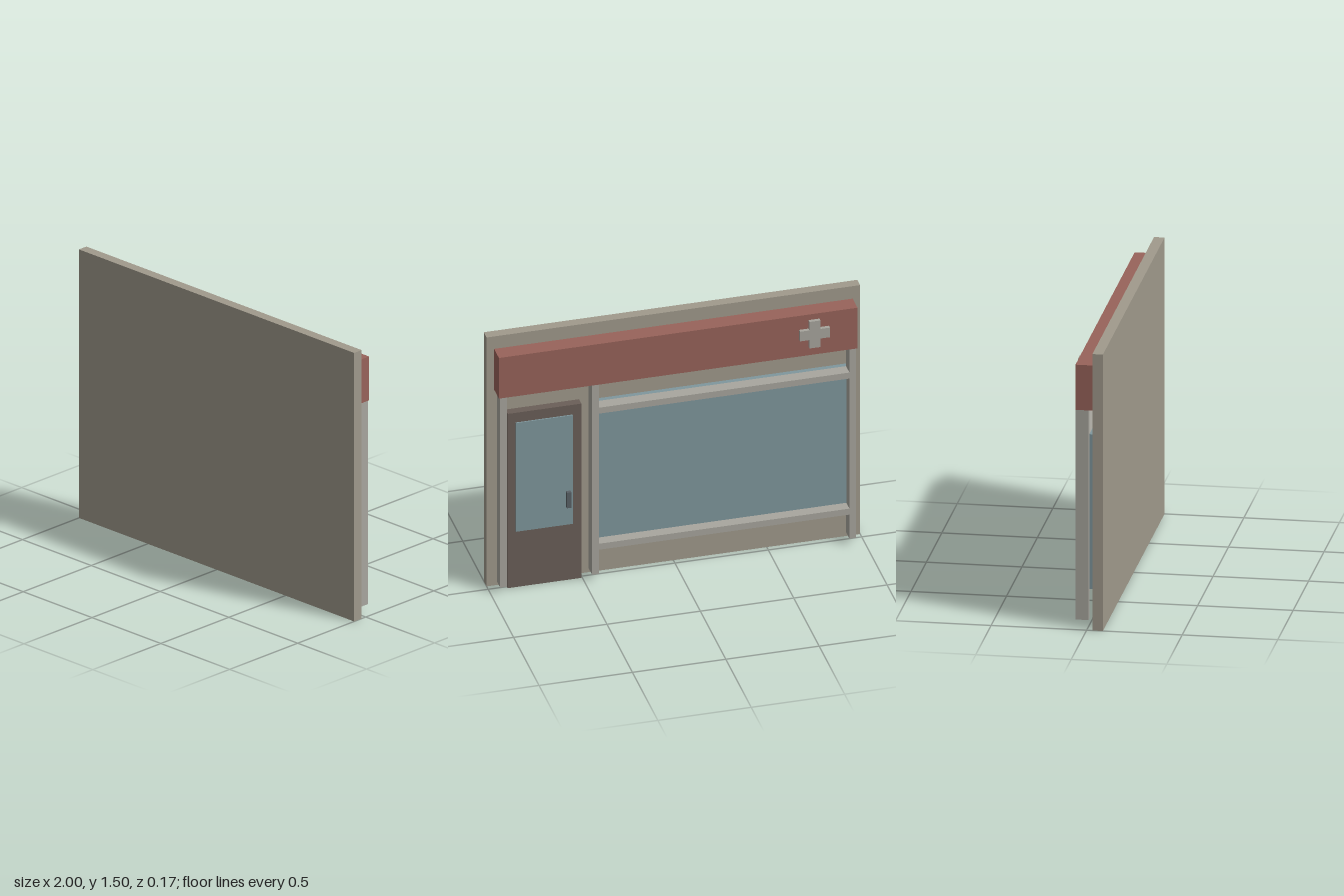
import * as THREE from 'three';

const mat = (color) => new THREE.MeshStandardMaterial({ color });

export function createModel() {
  const group = new THREE.Group();
  const wallMat = mat(0xa09a8c);
  const trimMat = mat(0xa8a69e);
  const signMat = mat(0x98635a);
  const glassMat = mat(0x7f979d);
  const doorMat = mat(0x6a5f58);
  const handleMat = mat(0x596065);

  // Box given by its minimum and maximum along each axis
  function box(name, material, [x0, x1], [y0, y1], [z0, z1]) {
    const mesh = new THREE.Mesh(new THREE.BoxGeometry(x1 - x0, y1 - y0, z1 - z0), material);
    mesh.position.set((x0 + x1) / 2, (y0 + y1) / 2, (z0 + z1) / 2);
    mesh.name = name;
    group.add(mesh);
    return mesh;
  }

  // Backing wall and sign band; the shop side faces -z
  box('wall', wallMat, [-1, 1], [0, 1.5], [0.03, 0.085]);
  box('signBand', signMat, [-0.96, 0.96], [1.18, 1.425], [-0.065, 0.03]);

  // Upright posts
  const trimZ = [-0.065, 0.002];
  for (const x of [-0.935, 0.443, 0.935]) {
    box('post', trimMat, [x - 0.018, x + 0.018], [0.04, 1.18], trimZ);
  }

  // Display window with head rail and sill
  box('windowGlass', glassMat, [-0.925, 0.435], [0.2, 1.04], [-0.004, 0.03]);
  box('headRail', trimMat, [-0.917, 0.425], [1.005, 1.041], trimZ);
  box('sillRail', trimMat, [-0.917, 0.425], [0.185, 0.221], trimZ);

  // Door with glazed panel and handle
  box('door', doorMat, [0.505, 0.9], [0, 1.05], [-0.016, 0.03]);
  box('doorGlass', glassMat, [0.553, 0.858], [0.337, 0.992], [-0.023, -0.01]);
  box('doorHandle', handleMat, [0.565, 0.589], [0.447, 0.54], [-0.042, -0.02]);

  // Raised plus-shaped emblem on the sign band
  const a = 0.08, b = 0.029;
  const outline = [[-b, -a], [b, -a], [b, -b], [a, -b], [a, b], [b, b],
    [b, a], [-b, a], [-b, b], [-a, b], [-a, -b], [-b, -b]];
  const shape = new THREE.Shape(outline.map(([x, y]) => new THREE.Vector2(x, y)));
  const emblem = new THREE.Mesh(
    new THREE.ExtrudeGeometry(shape, { depth: 0.022, bevelEnabled: false }), trimMat);
  emblem.position.set(-0.727, 1.312, -0.085);
  emblem.name = 'plusEmblem';
  group.add(emblem);

  return group;
}
